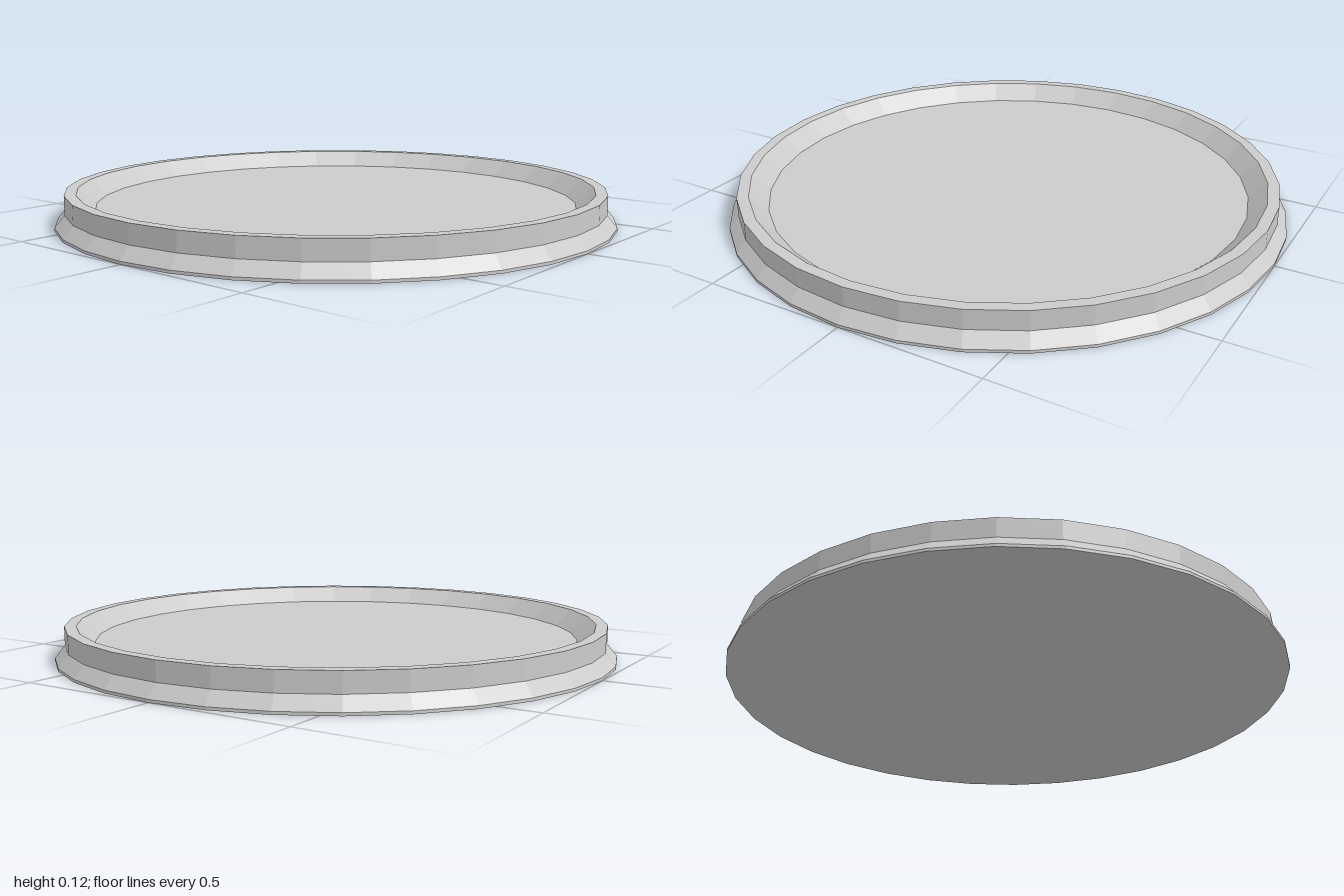
import * as THREE from 'three';

const SIDES = 32;

export function createModel() {
  const group = new THREE.Group();
  group.name = 'shallowTray';
  const material = new THREE.MeshStandardMaterial({ color: 0xcccccc, flatShading: true });

  // Revolve a [radius, height] profile around the vertical axis
  const addRing = (name, profile) => {
    const points = profile.map(([r, y]) => new THREE.Vector2(r, y));
    const mesh = new THREE.Mesh(new THREE.LatheGeometry(points, SIDES), material);
    mesh.name = name;
    group.add(mesh);
  };

  // Flat disc, facing up or down
  const addDisc = (name, radius, y, up) => {
    const geometry = new THREE.CircleGeometry(radius, SIDES).rotateX(up ? -Math.PI / 2 : Math.PI / 2);
    const mesh = new THREE.Mesh(geometry, material);
    mesh.name = name;
    mesh.position.y = y;
    group.add(mesh);
  };

  // Flared foot, upright wall, flat lip and sloped inner wall
  addRing('foot', [[1, 0], [1, 0.01], [0.965, 0.053]]);
  addRing('rim', [[0.965, 0.053], [0.965, 0.12], [0.925, 0.12], [0.862, 0.062]]);

  // Recessed floor and underside
  addDisc('floor', 0.862, 0.062, true);
  addDisc('underside', 1, 0, false);

  return group;
}
